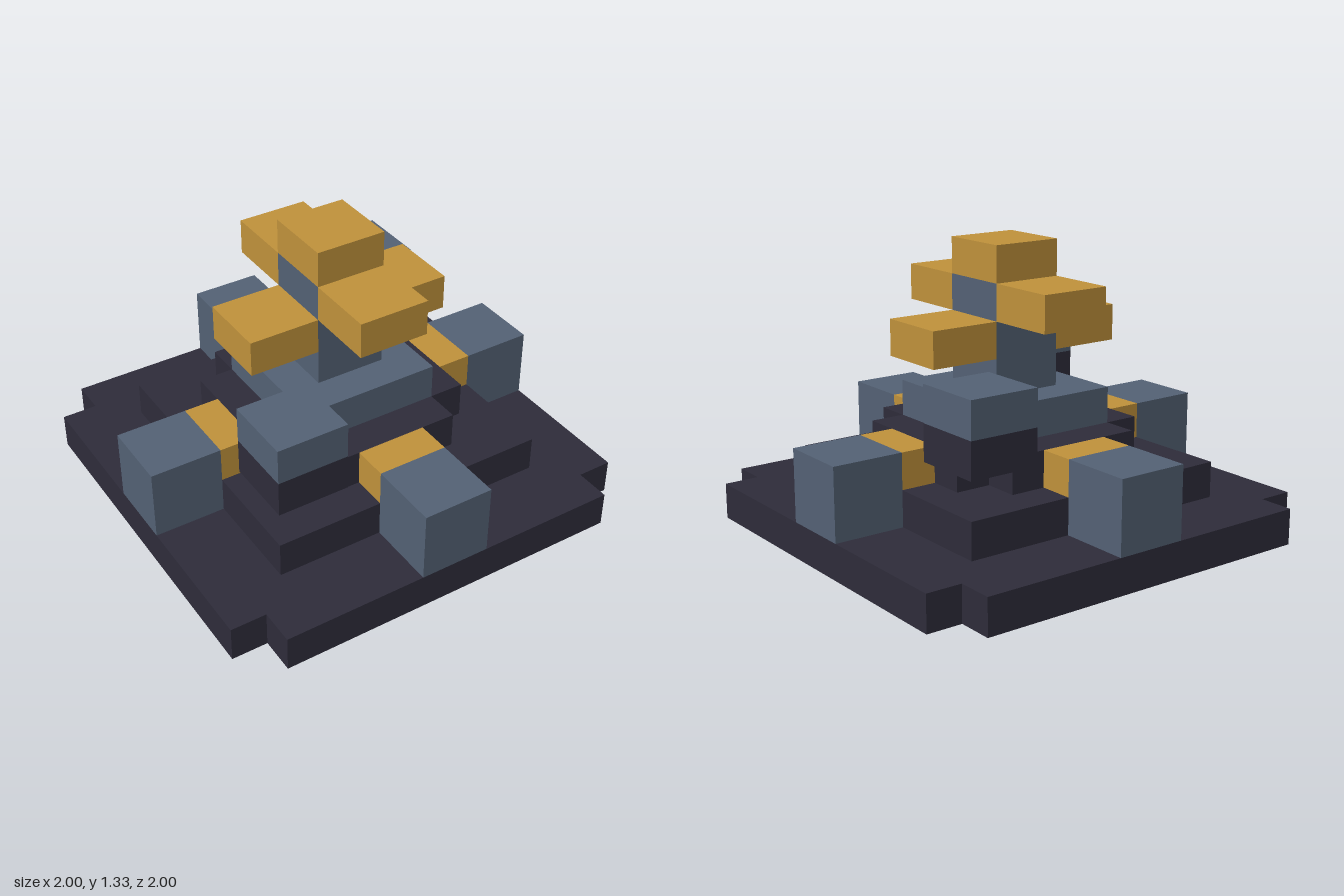
import * as THREE from 'three';

const U = 1 / 6; // one block

const material = (name, color) => {
  const m = new THREE.MeshStandardMaterial({ color });
  m.name = name;
  return m;
};

export function createModel() {
  const dark = material('dark stone', 0x2e2c3a);
  const slate = material('slate blue', 0x536174);
  const gold = material('gold', 0xbf913b);

  const model = new THREE.Group();
  model.name = 'shrine';

  const add = (parent, name, geometry, mat) => {
    const mesh = new THREE.Mesh(geometry, mat);
    mesh.name = name;
    parent.add(mesh);
    return mesh;
  };

  // Box given by its min and max corners, in blocks
  const box = (parent, name, mat, [x0, y0, z0], [x1, y1, z1]) => {
    const g = new THREE.BoxGeometry((x1 - x0) * U, (y1 - y0) * U, (z1 - z0) * U);
    g.translate((x0 + x1) / 2 * U, (y0 + y1) / 2 * U, (z0 + z1) / 2 * U);
    return add(parent, name, g, mat);
  };

  // Square slab, one block high, with a one-block notch in each corner
  const notchedSlab = (name, mat, r, y) => {
    const n = r - 1;
    const outline = [[n, -r], [n, -n], [r, -n], [r, n], [n, n], [n, r],
      [-n, r], [-n, n], [-r, n], [-r, -n], [-n, -n], [-n, -r]];
    const shape = new THREE.Shape(outline.map(([a, b]) => new THREE.Vector2(a * U, b * U)));
    const g = new THREE.ExtrudeGeometry(shape, { depth: U, bevelEnabled: false });
    g.rotateX(-Math.PI / 2).translate(0, y * U, 0);
    return add(model, name, g, mat);
  };

  // Stepped platform
  notchedSlab('base', dark, 6, 0);
  box(model, 'lowerStep', dark, [-4, 1, -4], [4, 2, 4]);
  notchedSlab('upperStep', dark, 3, 2);
  box(model, 'pedestal', slate, [-2, 3, -2], [2, 4, 2]);

  // Pier with a gold link on each side
  for (let i = 0; i < 4; i++) {
    const pier = new THREE.Group();
    pier.name = 'sidePier';
    box(pier, 'pierBlock', slate, [4, 1, -1], [6, 3, 1]);
    box(pier, 'pierLink', gold, [3, 2, -1], [4, 3, 1]);
    pier.rotation.y = i * Math.PI / 2;
    model.add(pier);
  }

  // Column with gold cap and two staggered pairs of arms
  box(model, 'column', slate, [-1, 4, -1], [1, 7, 1]);
  box(model, 'cap', gold, [-1, 7, -1], [1, 8, 1]);
  for (const s of [0, 1]) {
    const near = s ? 1 : -3;
    const far = near + 2;
    box(model, 'lowerArm', gold, [near, 5, -1], [far, 6, 1]);
    box(model, 'upperArm', gold, [-1, 6, near], [1, 7, far]);
  }

  // Two floating blocks on opposite corners
  for (const s of [0, 1]) {
    const floater = new THREE.Group();
    floater.name = 'floatingBlock';
    box(floater, 'floatingBottom', dark, [2, 3, -4], [4, 4, -2]);
    box(floater, 'floatingTop', slate, [2, 4, -4], [4, 5, -2]);
    floater.rotation.y = s * Math.PI;
    model.add(floater);
  }

  return model;
}
